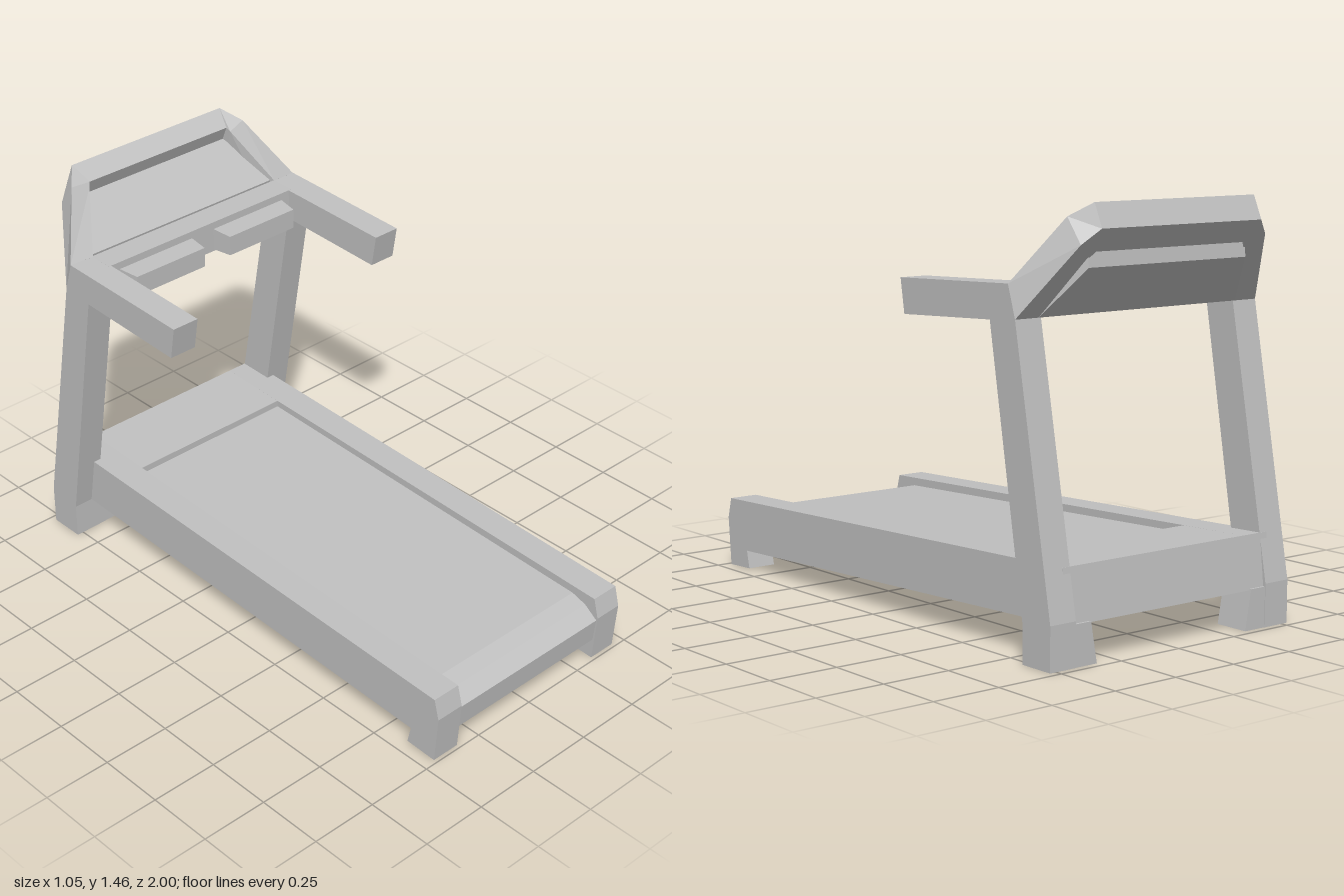
import * as THREE from 'three';

const grey = new THREE.MeshStandardMaterial({ color: 0xc0c0c0 });
grey.name = 'plain grey';

// Side outline of [z, y] points, extruded across x from x0 to x1
function sideProfile(points, x0, x1) {
  const shape = new THREE.Shape(points.map(([z, y]) => new THREE.Vector2(-z, y)));
  return new THREE.ExtrudeGeometry(shape, { depth: x1 - x0, bevelEnabled: false })
    .rotateY(Math.PI / 2).translate(x0, 0, 0);
}

// Flat-faced solid through equal-length loops, counter-clockwise seen from the last loop's end
function loft(loops) {
  const pos = [];
  const tri = (a, b, c) => pos.push(...a, ...b, ...c);
  const n = loops[0].length;
  const last = loops[loops.length - 1];
  for (let k = 0; k < loops.length - 1; k++) {
    for (let i = 0; i < n; i++) {
      const j = (i + 1) % n;
      tri(loops[k][i], loops[k][j], loops[k + 1][j]);
      tri(loops[k][i], loops[k + 1][j], loops[k + 1][i]);
    }
  }
  for (let i = 1; i < n - 1; i++) {
    tri(loops[0][0], loops[0][i + 1], loops[0][i]);
    tri(last[0], last[i], last[i + 1]);
  }
  const g = new THREE.BufferGeometry();
  g.setAttribute('position', new THREE.Float32BufferAttribute(pos, 3));
  g.computeVertexNormals();
  return g;
}

// Upright four-sided loop at depth z
const quad = (xa, xb, ya, yb, z) => [[xa, ya, z], [xb, ya, z], [xb, yb, z], [xa, yb, z]];

export function createModel() {
  const model = new THREE.Group();
  model.name = 'treadmill';
  const add = (name, geometry) => {
    const mesh = new THREE.Mesh(geometry, grey);
    mesh.name = name;
    model.add(mesh);
  };

  // Running deck: rounded front lip, sunken belt and raised rear cover
  add('runningDeck', sideProfile([
    [0.985, 0.08], [0.995, 0.17], [0.94, 0.21], [0.88, 0.228], [-0.66, 0.285],
    [-0.66, 0.31], [-0.945, 0.32], [-0.965, 0.135], [-0.85, 0.13], [0.875, 0.07],
  ], -0.34, 0.34));

  const railOutline = [
    [0.86, 0.005], [0.985, 0], [1.0, 0.18], [0.98, 0.255], [-0.945, 0.32],
    [-0.965, 0.135], [-0.85, 0.13], [0.875, 0.07],
  ];
  const postOutline = [
    [-0.205, 1.18], [-0.765, 1.2], [-0.8, 1.09], [-0.975, 0.15], [-0.975, 0],
    [-0.84, 0], [-0.84, 0.13], [-0.675, 1.08], [-0.225, 1.06],
  ];

  for (const [side, s] of [['left', 1], ['right', -1]]) {
    const span = (a, b) => (s > 0 ? [a, b] : [-b, -a]);

    // Rail with its front foot, and upright with its handle
    add(side + 'Rail', sideProfile(railOutline, ...span(0.34, 0.45)));
    add(side + 'PostAndHandle', sideProfile(postOutline, ...span(0.42, 0.525)));

    // Rear foot, flared inward at the floor
    const foot = (z) => {
      const f = [[0.33, 0, z], [0.523, 0, z], [0.523, 0.14, z], [0.355, 0.14, z]];
      return s > 0 ? f : f.map(([x, y, w]) => [-x, y, w]).reverse();
    };
    add(side + 'RearFoot', loft([foot(-0.973), foot(-0.842)]));

    // Tray in front of the crossbar
    add(side + 'Tray', loft([
      quad(...span(0.05, 0.385), 1.085, 1.17, -0.68),
      quad(...span(0.06, 0.37), 1.09, 1.165, -0.59),
    ]));
  }

  // Bar joining the uprights
  add('crossbar', sideProfile(
    [[-0.67, 1.08], [-0.67, 1.197], [-0.765, 1.2], [-0.8, 1.09]], -0.43, 0.43));

  // Console frame: sections of outer front, outer back, inner back, inner front
  const half = [
    [[0.525, 1.2, -0.765], [0.525, 1.09, -0.8], [0.42, 1.09, -0.8], [0.43, 1.2, -0.76]],
    [[0.4, 1.41, -0.9], [0.4, 1.325, -0.965], [0.335, 1.28, -0.93], [0.33, 1.39, -0.89]],
    [[0.345, 1.455, -0.965], [0.345, 1.375, -1], [0.32, 1.3, -0.945], [0.32, 1.405, -0.9]],
  ];
  const mirrored = half.map((loop) => loop.map(([x, y, z]) => [-x, y, z])).reverse();
  add('consoleFrame', loft([...half, ...mirrored]));

  // Sunken console panel, showing through the back of the frame
  add('consolePanel', loft([
    [[-0.43, 1.09, -0.8], [0.43, 1.09, -0.8], [0.34, 1.25, -0.935], [-0.34, 1.25, -0.935]],
    [[-0.44, 1.2, -0.775], [0.44, 1.2, -0.775], [0.345, 1.355, -0.925], [-0.345, 1.355, -0.925]],
  ]));

  return model;
}
